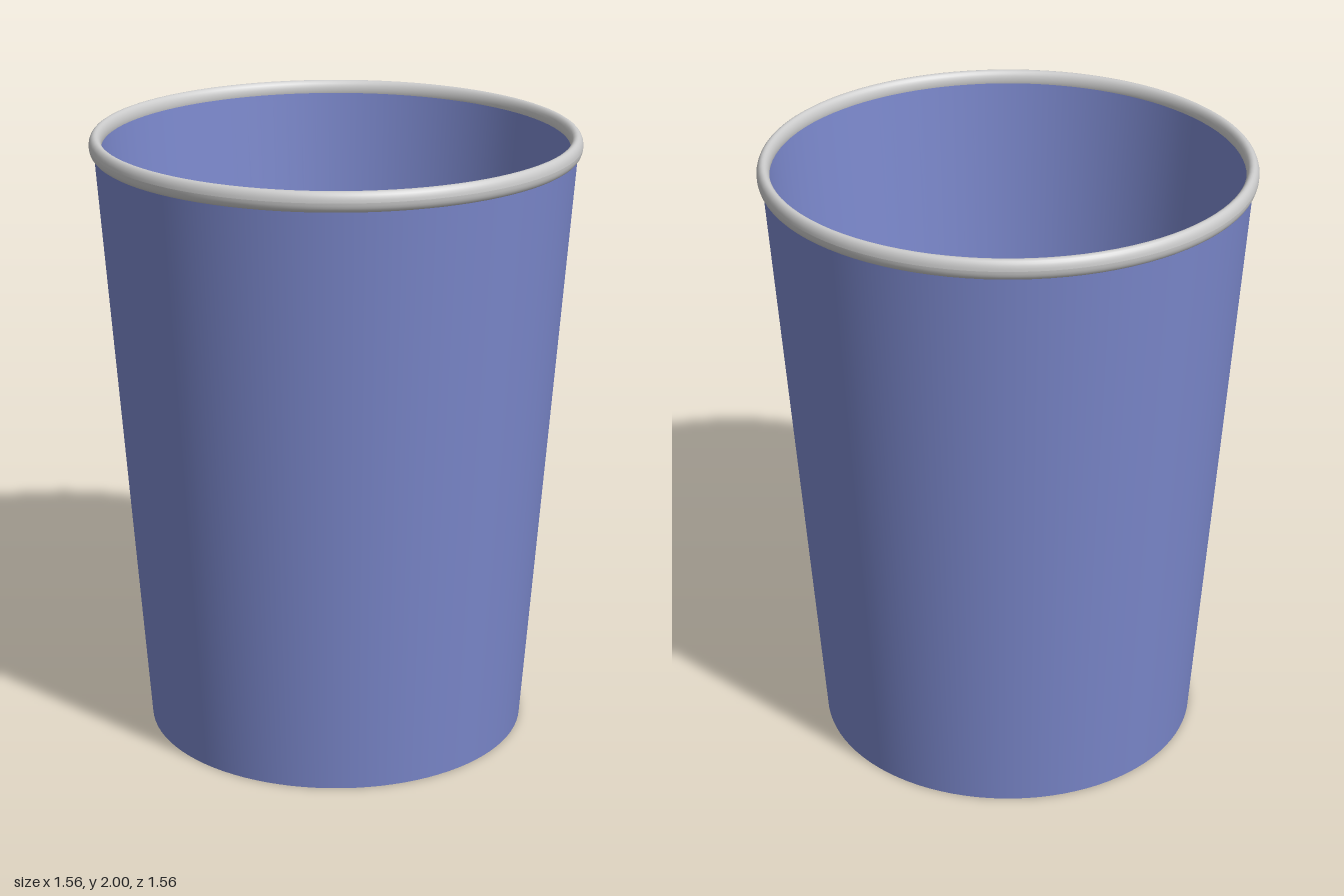
import * as THREE from 'three';

const SEGMENTS = 96;

export function createModel() {
  const group = new THREE.Group();
  group.name = 'cup';
  const blue = new THREE.MeshStandardMaterial({ color: 0x7b88cc });
  const grey = new THREE.MeshStandardMaterial({ color: 0xcccccc });

  // Revolve a profile of [radius, height] points; counterclockwise faces outward
  const revolve = (name, profile, material, parent) => {
    const points = profile.map(([r, y]) => new THREE.Vector2(r, y));
    const mesh = new THREE.Mesh(new THREE.LatheGeometry(points, SEGMENTS), material);
    mesh.name = name;
    parent.add(mesh);
  };

  // Tapered body: one strip per profile segment keeps the edges sharp
  const body = new THREE.Group();
  body.name = 'body';
  group.add(body);
  revolve('base', [[0, 0], [0.625, 0]], blue, body);
  revolve('outerWall', [[0.625, 0], [0.767, 1.97]], blue, body);
  revolve('innerWall', [[0.743, 1.97], [0.585, 0.04]], blue, body);
  revolve('floor', [[0.585, 0.04], [0, 0.04]], blue, body);

  // Rolled rim: a closed oval bead around the mouth
  const bead = [];
  for (let i = 0; i <= 24; i++) {
    const a = (i / 24) * Math.PI * 2;
    bead.push([0.761 + 0.02 * Math.cos(a), 1.968 + 0.032 * Math.sin(a)]);
  }
  revolve('rim', bead, grey, group);

  return group;
}
